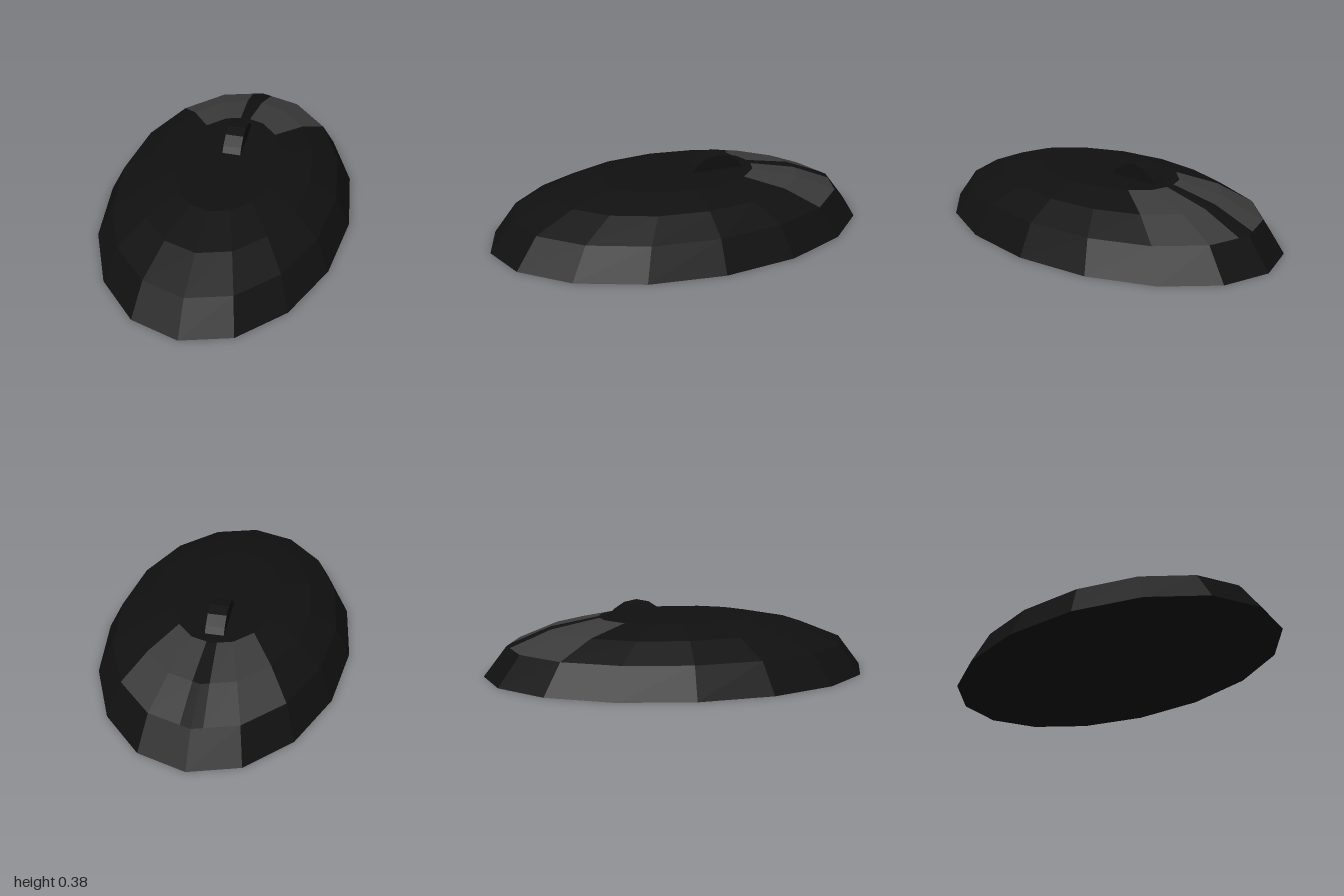
import * as THREE from 'three';

const SIDES = 16;
const HALF_WIDTH = 0.65, HALF_LENGTH = 1;

// Concentric oval rings: [scale, height], from base centre over the shell to top centre
const RINGS = [[0, 0], [1, 0], [0.88, 0.157], [0.664, 0.245], [0.412, 0.295], [0, 0.295]];

// Point on a ring; fractional steps lie on the straight edge between two corners
function ringPoint(ring, step) {
  const [scale, y] = RINGS[ring];
  const corner = (i) => {
    const a = (i / SIDES) * Math.PI * 2;
    return new THREE.Vector3(Math.sin(a) * HALF_WIDTH * scale, y, Math.cos(a) * HALF_LENGTH * scale);
  };
  const i = Math.floor(step);
  return corner(i).lerp(corner(i + 1), step - i);
}

// Faceted strip of shell between rings r0..r1 along the given steps
function patch(r0, r1, steps) {
  const pos = [];
  const add = (...pts) => pts.forEach((p) => pos.push(p.x, p.y, p.z));
  for (let r = r0; r < r1; r++) {
    for (let k = 0; k < steps.length - 1; k++) {
      const a = ringPoint(r, steps[k]), b = ringPoint(r, steps[k + 1]);
      const c = ringPoint(r + 1, steps[k + 1]), d = ringPoint(r + 1, steps[k]);
      if (RINGS[r][0] > 0) add(a, b, c);
      if (RINGS[r + 1][0] > 0) add(a, c, d);
    }
  }
  const g = new THREE.BufferGeometry();
  g.setAttribute('position', new THREE.Float32BufferAttribute(pos, 3));
  g.computeVertexNormals();
  return g;
}

export function createModel() {
  const model = new THREE.Group();
  model.name = 'computerMouse';
  const dark = new THREE.MeshStandardMaterial({ color: 0x101010, flatShading: true });
  const grey = new THREE.MeshStandardMaterial({ color: 0x3a3a3a, flatShading: true });

  const add = (parent, name, geometry, material) => {
    const mesh = new THREE.Mesh(geometry, material);
    mesh.name = name;
    parent.add(mesh);
    return mesh;
  };

  // Shell, leaving openings for the two buttons at the back
  const all = Array.from({ length: SIDES + 1 }, (_, i) => i);
  const shell = new THREE.Group();
  shell.name = 'shell';
  model.add(shell);
  add(shell, 'base', patch(0, 1, all), dark);
  add(shell, 'rim', patch(1, 2, all), dark);
  add(shell, 'dome', patch(2, 4, all.slice(0, 13).map((i) => i + 10)), dark);
  add(shell, 'buttonDivider', patch(2, 4, [7.75, 8, 8.25]), dark);
  add(shell, 'topPanel', patch(4, 5, all), dark);

  // Buttons, flush with the dome
  add(model, 'leftButton', patch(2, 4, [6, 7, 7.75]), grey);
  add(model, 'rightButton', patch(2, 4, [8.25, 9, 10]), grey);

  // Scroll wheel, sunk into the top with its axle across x
  const wheel = add(model, 'scrollWheel', new THREE.CylinderGeometry(0.166, 0.166, 0.095, 16), dark);
  wheel.rotation.z = Math.PI / 2;
  wheel.position.set(0, 0.209, -0.205);

  return model;
}
